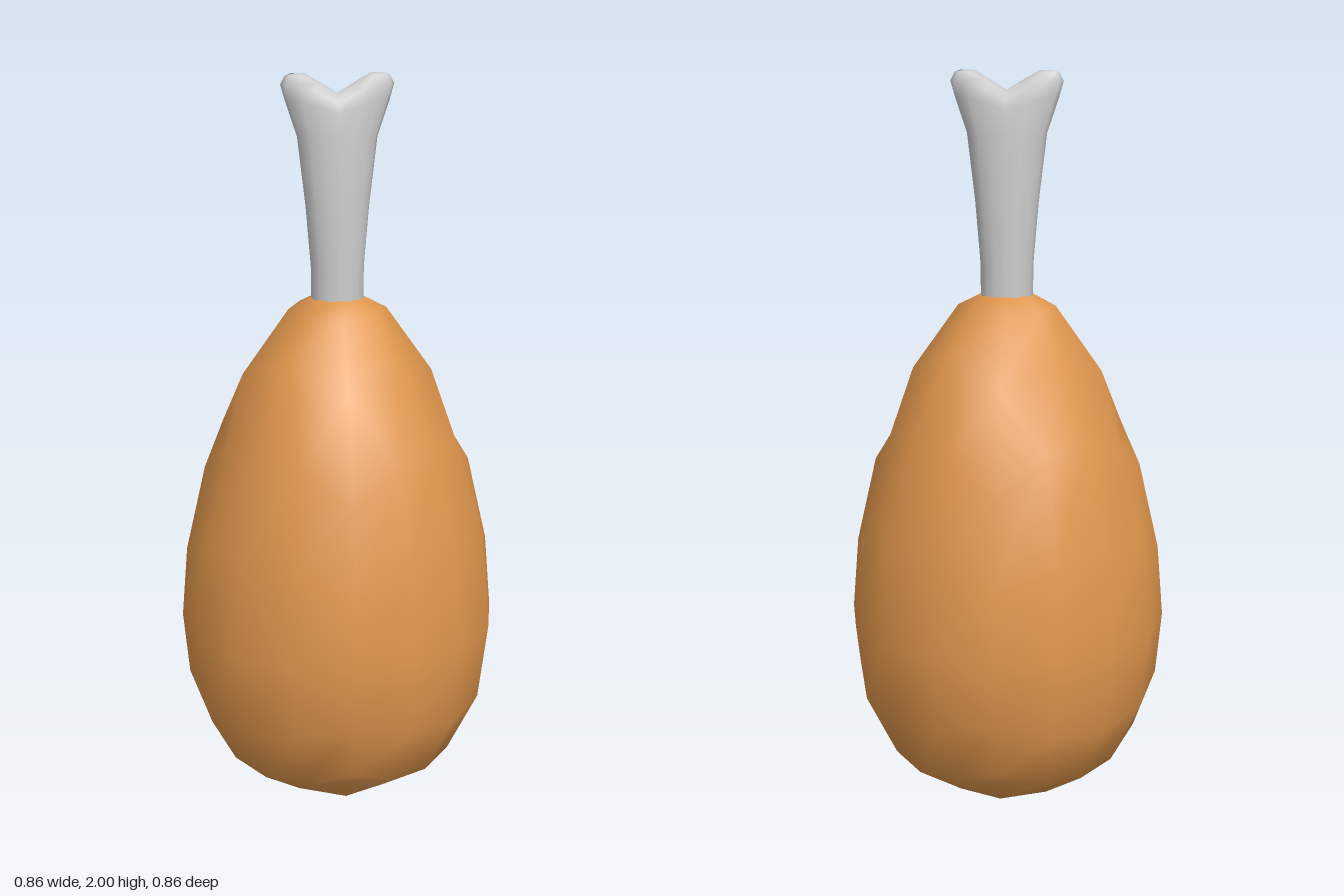
import * as THREE from 'three';
import { mergeGeometries, mergeVertices } from 'three/addons/utils/BufferGeometryUtils.js';

// Weld by position and give smooth normals
function smooth(parts) {
  for (const g of parts) {
    g.deleteAttribute('uv');
    g.deleteAttribute('normal');
  }
  const g = mergeVertices(mergeGeometries(parts), 1e-4);
  g.computeVertexNormals();
  return g;
}

// Open tube whose vertices are placed by rule(row from top, sin, cos)
function ringTube(sides, rows, rule) {
  const g = new THREE.CylinderGeometry(1, 1, 1, sides, rows - 1, true);
  const p = g.attributes.position;
  for (let i = 0; i < p.count; i++) {
    const a = ((i % (sides + 1)) / sides) * Math.PI * 2;
    p.setXYZ(i, ...rule(Math.floor(i / (sides + 1)), Math.sin(a), Math.cos(a)));
  }
  return g;
}

// Pear profile (radius, height) in equal steps of latitude, bottom to top
const profile = new THREE.SplineCurve([
  [0, 0.003], [0.168, 0.035], [0.31, 0.13], [0.4, 0.3], [0.43, 0.53],
  [0.4, 0.8], [0.32, 1.07], [0.205, 1.28], [0, 1.42],
].map(([r, y]) => new THREE.Vector2(r, y)));

// Cube point (half size 0.5) to the pear surface
function toPear(x, y, z) {
  const d = new THREE.Vector3(x, y, z)
    .set(...[x, y, z].map((c) => Math.tan((c * Math.PI) / 2))).normalize();
  const q = profile.getPoint(Math.asin(THREE.MathUtils.clamp(d.y, -1, 1)) / Math.PI + 0.5);
  const h = Math.hypot(d.x, d.z);
  return h < 1e-6 ? [0, q.y, 0] : [(d.x / h) * q.x, q.y, (d.z / h) * q.x];
}

function meatGeometry() {
  // Rounded cube with the middle of its top left open
  const body = new THREE.BoxGeometry(1, 1, 1, 4, 4, 4);
  const p = body.attributes.position;
  const inner = (i) => p.getY(i) > 0.49 && Math.abs(p.getX(i)) < 0.26 && Math.abs(p.getZ(i)) < 0.26;
  const index = [];
  for (let i = 0; i < body.index.count; i += 3) {
    const tri = [0, 1, 2].map((k) => body.index.getX(i + k));
    if (!tri.every(inner)) index.push(...tri);
  }
  body.setIndex(index);
  for (let i = 0; i < p.count; i++) p.setXYZ(i, ...toPear(p.getX(i), p.getY(i), p.getZ(i)));

  // Collar closing the opening around the bone
  const collar = [[0, 1.42], [0.06, 1.424], [0.13, 1.388]];
  const cap = ringTube(8, 4, (row, s, c) => {
    if (row === 3) return toPear(Math.round(s) * 0.25, 0.5, Math.round(c) * 0.25);
    const [r, y] = collar[row];
    return [s * r, y, c * r];
  });
  return smooth([body, cap]);
}

function boneGeometry() {
  // Rows from top: half width, half depth, height, depth of the middle notch
  const rows = [
    [0.118, 0, 2.0, 0.05],
    [0.134, 0.027, 1.995, 0.05],
    [0.146, 0.042, 1.972, 0.045],
    [0.134, 0.047, 1.93, 0.03],
    [0.104, 0.055, 1.84, 0],
    [0.083, 0.061, 1.66, 0],
    [0.07, 0.064, 1.5, 0],
    [0.069, 0.066, 1.36, 0],
  ];
  const g = ringTube(16, rows.length, (row, s, c) => {
    const [w, d, y, notch] = rows[row];
    const dip = notch * (1 - Math.min(Math.abs(s * w) / 0.083, 1));
    return [s * w, y - dip, c * d];
  });
  // Knuckles spread along the diagonal
  g.rotateY(-Math.PI / 4);
  return smooth([g]);
}

export function createModel() {
  const model = new THREE.Group();
  model.name = 'drumstick';
  const add = (name, geometry, color) => {
    const mesh = new THREE.Mesh(geometry, new THREE.MeshStandardMaterial({ color }));
    mesh.name = name;
    model.add(mesh);
  };
  add('meat', meatGeometry(), 0xe0964c);
  add('bone', boneGeometry(), 0xcccccc);
  return model;
}
